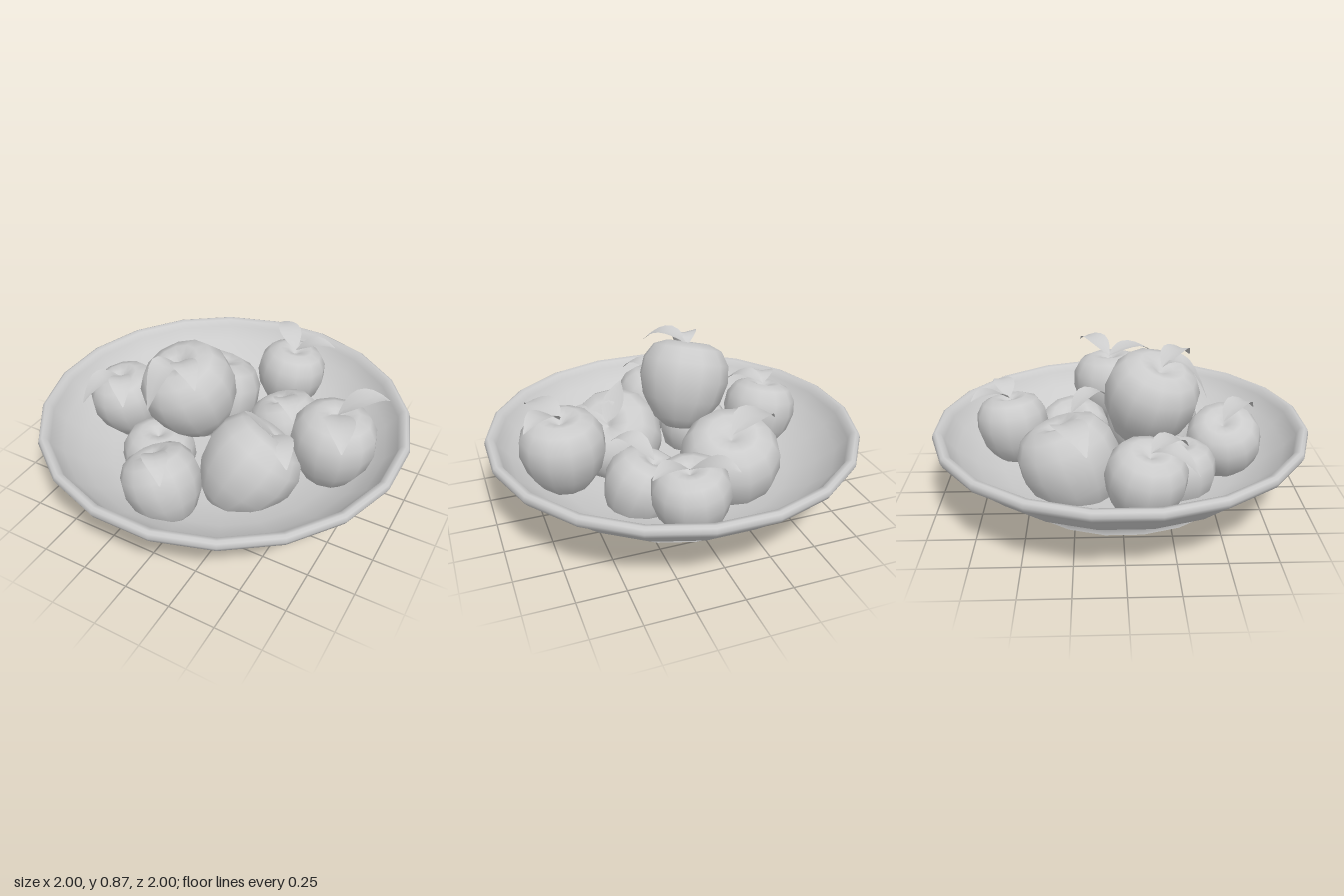
import * as THREE from 'three';
import { toCreasedNormals } from 'three/addons/utils/BufferGeometryUtils.js';

const V = (x, y, z) => new THREE.Vector3(x, y, z);
const pts = (list) => list.map(([x, y]) => new THREE.Vector2(x, y));
const material = new THREE.MeshStandardMaterial({ color: 0xcccccc });
const leafMaterial = new THREE.MeshStandardMaterial({ color: 0xcccccc, side: THREE.DoubleSide });

// Apple turned around its core: [radius, height], tapering down, with a dimple on top
const appleGeometry = new THREE.LatheGeometry(pts([
  [0, -0.94], [0.28, -0.98], [0.6, -0.76], [0.88, -0.32], [1, 0.15],
  [0.96, 0.54], [0.77, 0.85], [0.48, 0.97], [0.24, 0.92], [0.08, 0.8], [0, 0.75],
]), 12);

// Arched leaf, folded a little along its midrib
function leafGeometry(base, tip, rise) {
  const steps = 7, width = 0.48 * base.distanceTo(tip);
  const mid = base.clone().lerp(tip, 0.5);
  mid.y = Math.max(base.y, tip.y) + rise;
  const curve = new THREE.QuadraticBezierCurve3(base, mid, tip);
  const side = tip.clone().sub(base).setY(0).normalize().cross(V(0, 1, 0));
  const position = [], index = [];
  for (let i = 0; i <= steps; i++) {
    const t = i / steps, p = curve.getPoint(t);
    const half = (width / 2) * Math.sin(Math.PI * Math.pow(t, 0.85)) + 0.003;
    for (const s of [-1, 0, 1]) {
      const q = p.clone().addScaledVector(side, s * half);
      if (s === 0) q.y -= half * 0.2;
      position.push(q.x, q.y, q.z);
    }
    if (i < steps) {
      for (const k of [i * 3, i * 3 + 1]) index.push(k, k + 1, k + 3, k + 1, k + 4, k + 3);
    }
  }
  const g = new THREE.BufferGeometry();
  g.setAttribute('position', new THREE.Float32BufferAttribute(position, 3));
  g.setIndex(index);
  g.computeVertexNormals();
  return g;
}

// Apple leaning along (leanX, 1, leanZ); its leaves grow from the dimple,
// each given as tip x, y, z and rise of the arch
function apple(name, [x, y, z], radius, [leanX, leanZ], ...leaves) {
  const group = new THREE.Group();
  group.name = name;
  const axis = V(leanX, 1, leanZ).normalize();
  const fruit = new THREE.Mesh(appleGeometry, material);
  fruit.name = 'fruit';
  fruit.position.set(x, y, z);
  fruit.scale.set(radius, radius * 0.98, radius);
  fruit.quaternion.setFromUnitVectors(V(0, 1, 0), axis);
  group.add(fruit);
  const base = V(x, y, z).addScaledVector(axis, radius * 0.9);
  for (const [tipX, tipY, tipZ, rise] of leaves) {
    const leaf = new THREE.Mesh(leafGeometry(base, V(tipX, tipY, tipZ), rise), leafMaterial);
    leaf.name = 'leaf';
    group.add(leaf);
  }
  return group;
}

export function createModel() {
  const model = new THREE.Group();
  model.name = 'bowlOfApples';

  // Bowl: underside, foot ring, outer wall, rim, inner wall
  const bowlProfile = pts([
    [0, 0.1], [0.49, 0.1], [0.5, 0.09], [0.612, 0.09], [0.612, 0.14], [0.69, 0.18],
    [0.82, 0.25], [0.91, 0.33], [0.96, 0.385], [1, 0.4], [1.012, 0.425], [1.005, 0.448],
    [0.99, 0.455], [0.965, 0.45], [0.95, 0.415], [0.89, 0.345], [0.79, 0.265], [0.64, 0.19],
    [0.45, 0.155], [0, 0.15],
  ]);
  const bowl = new THREE.Mesh(
    toCreasedNormals(new THREE.LatheGeometry(bowlProfile, 20, Math.PI / 20), 1.2), material);
  bowl.name = 'bowl';
  model.add(bowl);

  // Four apples at the bottom
  model.add(apple('backRightApple', [-0.23, 0.28, -0.26], 0.27, [0.1, -0.35], [-0.53, 0.48, -0.18, 0.16]));
  model.add(apple('backLeftApple', [0.27, 0.23, -0.26], 0.21, [-0.4, -0.1], [0.37, 0.45, -0.08, 0.14]));
  model.add(apple('frontLeftApple', [0.25, 0.285, 0.22], 0.265, [0.55, -0.7],
    [0.23, 0.65, 0.21, -0.08], [0.52, 0.46, 0.31, 0.12]));
  model.add(apple('frontRightApple', [-0.24, 0.22, 0.3], 0.2, [0, 0]));

  // Four apples around the sides
  model.add(apple('rightApple', [-0.57, 0.36, 0.1], 0.205, [-0.2, 0.15],
    [-0.7, 0.46, 0.35, 0.12], [-0.45, 0.5, 0.32, 0.12]));
  model.add(apple('backApple', [0.12, 0.35, -0.6], 0.2, [0.1, -0.1],
    [-0.04, 0.58, -0.8, 0.08], [0.35, 0.56, -0.7, 0.09]));
  model.add(apple('frontApple', [-0.04, 0.31, 0.565], 0.207, [-0.45, -0.1], [0.06, 0.49, 0.74, 0.16]));
  model.add(apple('leftApple', [0.62, 0.4, -0.04], 0.228, [0.05, -0.05],
    [0.84, 0.65, -0.23, 0.12], [0.76, 0.59, 0.22, 0.12]));

  // Apple on top of the pile
  model.add(apple('topApple', [-0.115, 0.6, 0.145], 0.25, [-0.25, 0.3],
    [-0.2, 0.65, 0.44, 0.16], [0.04, 0.81, 0.37, 0.15]));
  return model;
}
